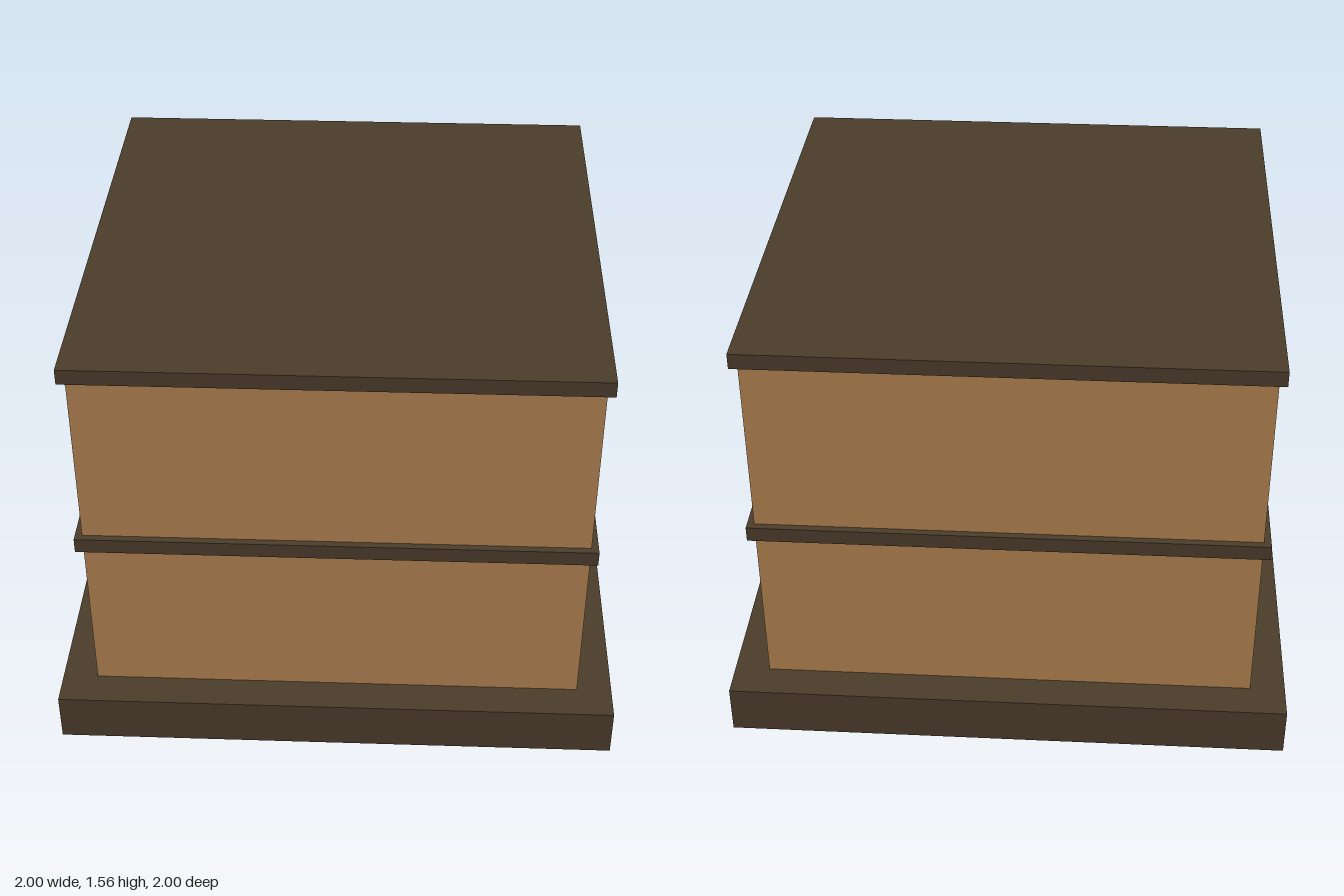
import * as THREE from 'three';

export function createModel() {
  const model = new THREE.Group();
  model.name = 'crate';
  const dark = new THREE.MeshStandardMaterial({ color: 0x4a3c2a });
  const wood = new THREE.MeshStandardMaterial({ color: 0xb08050 });

  // Square slab of the given width between two heights
  function slab(name, width, bottom, top, material) {
    const mesh = new THREE.Mesh(new THREE.BoxGeometry(width, top - bottom, width), material);
    mesh.name = name;
    mesh.position.y = (bottom + top) / 2;
    model.add(mesh);
  }

  // Plinth, two wooden storeys, and the thin bands that cap each storey
  slab('base', 2, 0, 0.18, dark);
  slab('lowerBody', 1.75, 0.18, 0.795, wood);
  slab('middleBand', 1.8, 0.795, 0.85, dark);
  slab('upperBody', 1.75, 0.85, 1.5, wood);
  slab('topLid', 1.8, 1.5, 1.556, dark);

  return model;
}
